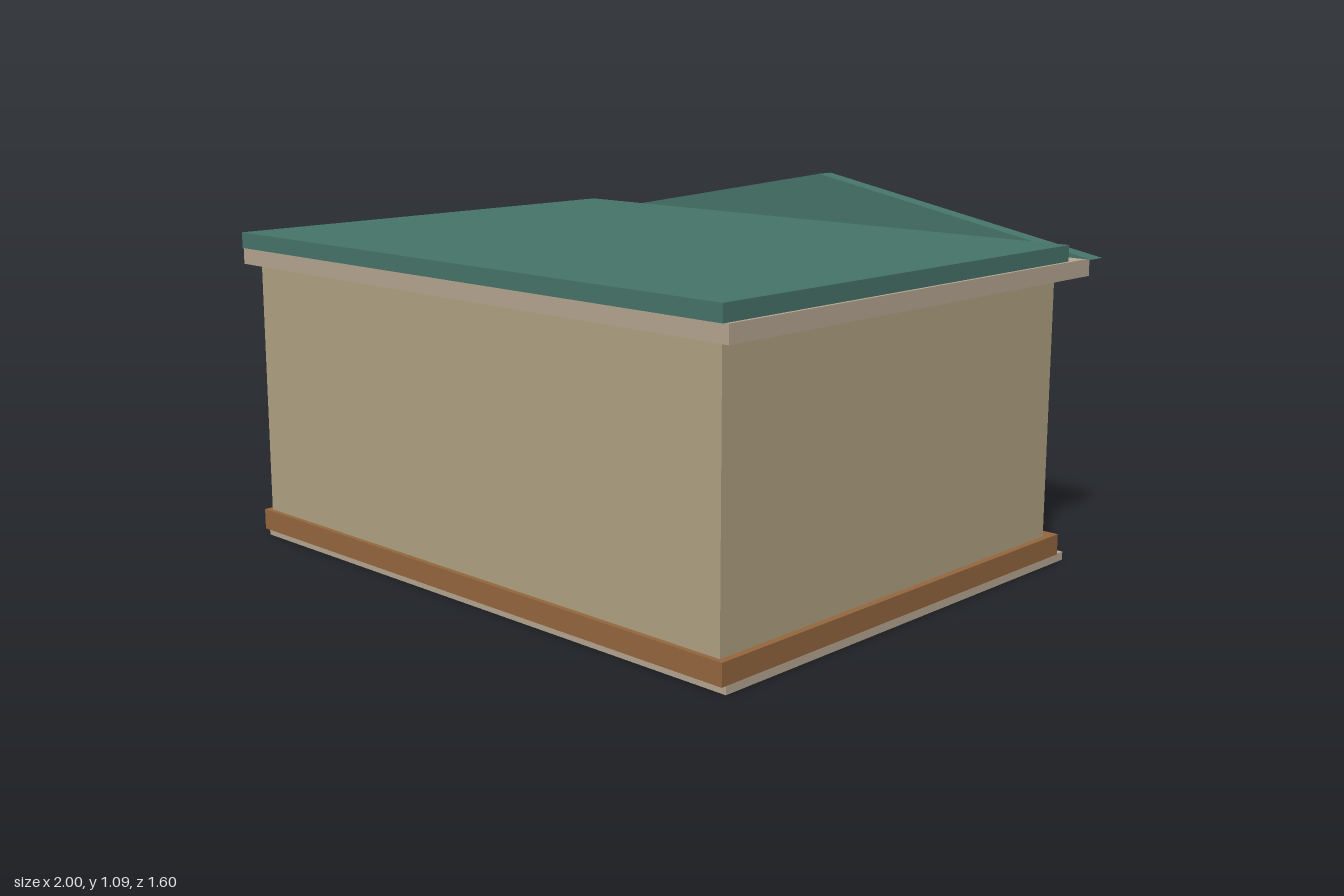
import * as THREE from 'three';

const mat = (color) => new THREE.MeshStandardMaterial({ color, flatShading: true });
const M = {
  wall: mat(0xb3a484), trim: mat(0xb8a892), column: mat(0xbdb09a), roof: mat(0x47756a),
  wood: mat(0x96683f), door: mat(0x4f7f92), glass: mat(0x6d8f84), dark: mat(0x3a352e),
  gold: mat(0xb08a3c), leaf: mat(0x4b7a4c),
};

export function createModel() {
  const root = new THREE.Group();
  root.name = 'building';

  const add = (name, geometry, material, parent = root) => {
    const mesh = new THREE.Mesh(geometry, material);
    mesh.name = name;
    parent.add(mesh);
    return mesh;
  };
  // Box given by its extents on each axis
  const box = (name, material, [x0, x1], [y0, y1], [z0, z1], parent) => {
    const mesh = add(name, new THREE.BoxGeometry(x1 - x0, y1 - y0, z1 - z0), material, parent);
    mesh.position.set((x0 + x1) / 2, (y0 + y1) / 2, (z0 + z1) / 2);
    return mesh;
  };
  // Rectangular frame with an opening, standing out from the wall towards -z
  const frame = (name, material, [x0, x1], [y0, y1], [side, bottom, top], [z0, z1], parent) => {
    const shape = new THREE.Shape([[x0, y0], [x1, y0], [x1, y1], [x0, y1]]
      .map(([x, y]) => new THREE.Vector2(x, y)));
    const hole = [[x0 + side, y0 + bottom], [x0 + side, y1 - top], [x1 - side, y1 - top], [x1 - side, y0 + bottom]];
    shape.holes.push(new THREE.Path(hole.map(([x, y]) => new THREE.Vector2(x, y))));
    const geo = new THREE.ExtrudeGeometry(shape, { depth: z1 - z0, bevelEnabled: false });
    add(name, geo, material, parent).position.z = z0;
  };

  // Main masses
  box('foundation', M.trim, [-0.955, 0.955], [0, 0.025], [-0.73, 0.76]);
  box('plinth', M.wood, [-0.955, 0.955], [0.023, 0.085], [-0.70, 0.775]);
  box('walls', M.wall, [-0.935, 0.935], [0.08, 0.855], [-0.65, 0.76]);
  box('cornice', M.trim, [-0.983, 0.983], [0.85, 0.90], [-0.757, 0.79]);
  box('roof', M.roof, [-0.973, 0.973], [0.90, 0.947], [-0.66, 0.80]);

  // Triangular pediment over the entrance side
  const gable = new THREE.Shape([
    new THREE.Vector2(-1, 0.9), new THREE.Vector2(1, 0.9), new THREE.Vector2(0, 1.087)]);
  add('pediment', new THREE.ExtrudeGeometry(gable, { depth: 0.06, bevelEnabled: false }), M.roof)
    .position.z = -0.797;

  // Columns
  const columnMat = M.column.clone();
  columnMat.flatShading = false;
  for (const x of [-0.885, -0.27, 0.27, 0.885]) {
    add('column', new THREE.CylinderGeometry(0.025, 0.025, 0.685, 16), columnMat)
      .position.set(x, 0.4275, -0.675);
  }

  // Double door with frame and handles
  const door = new THREE.Group();
  door.name = 'door';
  root.add(door);
  frame('doorFrame', M.wood, [-0.235, 0.235], [0.08, 0.6], [0.028, 0.005, 0.06], [-0.70, -0.65], door);
  for (const s of [-1, 1]) {
    const leaf = box('doorLeaf', M.door, [-0.103, 0.103], [0.083, 0.545], [-0.692, -0.655], door);
    leaf.position.x = s * 0.104;
    const handle = box('doorHandle', M.dark, [-0.006, 0.006], [0.225, 0.3], [-0.705, -0.69], door);
    handle.position.x = s * 0.11;
  }

  // Panel over the door with round ornaments
  box('entrancePanel', M.trim, [-0.28, 0.28], [0.675, 0.812], [-0.72, -0.70]);
  for (const s of [-1, 1]) {
    const disc = add('panelDisc', new THREE.CylinderGeometry(0.036, 0.036, 0.012, 16), M.gold);
    disc.rotation.x = Math.PI / 2;
    disc.position.set(s * 0.038, 0.745, -0.725);
  }
  box('panelBar', M.dark, [-0.01, 0.01], [0.71, 0.783], [-0.736, -0.72]);

  for (const s of [-1, 1]) {
    // Window with two panes
    const win = new THREE.Group();
    win.name = 'window';
    win.position.x = s * 0.68;
    root.add(win);
    frame('windowFrame', M.wood, [-0.18, 0.18], [0.275, 0.665], [0.022, 0.025, 0.025], [-0.69, -0.645], win);
    box('windowGlass', M.glass, [-0.165, 0.165], [0.29, 0.65], [-0.672, -0.65], win);
    box('windowMullion', M.trim, [-0.006, 0.006], [0.295, 0.645], [-0.682, -0.66], win);

    // Planter with a clipped shrub
    const planter = new THREE.Group();
    planter.name = 'planter';
    planter.position.set(s * 0.79, 0, -0.70);
    root.add(planter);
    box('planterBox', M.wood, [-0.06, 0.06], [0.005, 0.13], [-0.06, 0.06], planter);
    add('shrub', new THREE.SphereGeometry(0.066, 10, 7), M.leaf, planter).position.y = 0.153;

    // Small lamps under the cornice
    for (const x of [0.56, 0.74]) {
      box('soffitLamp', M.gold, [s * x - 0.025, s * x + 0.025], [0.841, 0.852], [-0.70, -0.685]);
    }
  }
  return root;
}
